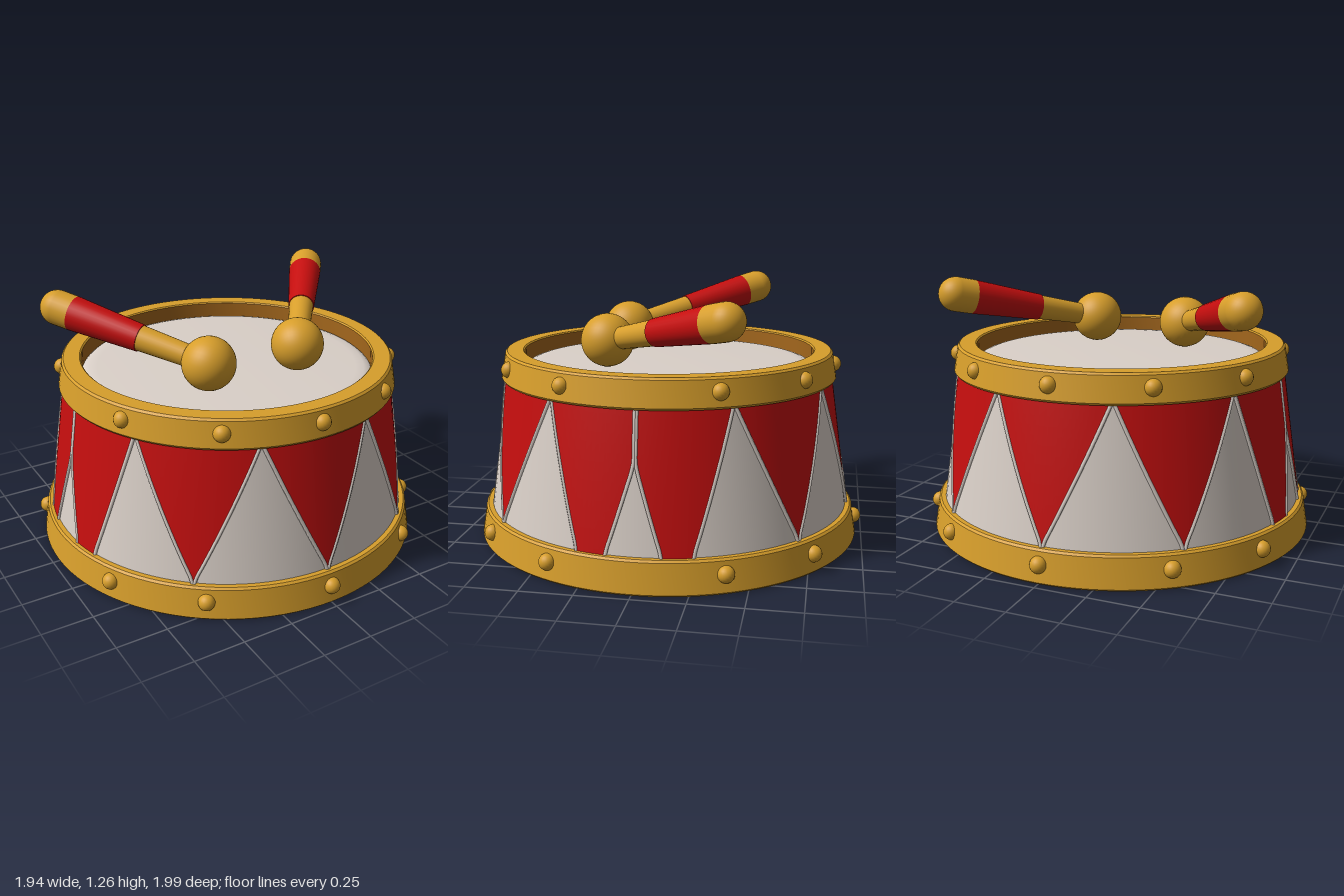
import * as THREE from 'three';
import { toCreasedNormals } from 'three/addons/utils/BufferGeometryUtils.js';

const mat = (name, color) => Object.assign(new THREE.MeshStandardMaterial({ color }), { name });
const gold = mat('gold', 0xd79e2b);
const brown = mat('darkGold', 0xa2661c);
const red = mat('red', 0xc40e0e);
const white = mat('offWhite', 0xdad0c8);

const RAD = Math.PI / 180;
const Y0 = 0.14, Y1 = 0.82, R0 = 0.917, R1 = 0.818;

function add(parent, name, geometry, material) {
  const mesh = new THREE.Mesh(geometry, material);
  mesh.name = name;
  parent.add(mesh);
  return mesh;
}

const lathe = (pts) => toCreasedNormals(
  new THREE.LatheGeometry(pts.map(([r, y]) => new THREE.Vector2(r, y)), 96), 0.6);

// Point on the tapered shell: angle in degrees from the front, t from bottom to top
function onShell(deg, t, lift) {
  const r = THREE.MathUtils.lerp(R0, R1, t) + lift;
  return new THREE.Vector3(r * Math.sin(deg * RAD), THREE.MathUtils.lerp(Y0, Y1, t), r * Math.cos(deg * RAD));
}

// Panel borders around the shell, each an angle that depends on height
function panelEdges() {
  const line = (a, b, top = 1) => (t) => {
    const s = THREE.MathUtils.clamp((t - 0.03) / (top - 0.03), 0, 1);
    return THREE.MathUtils.lerp(a, b, s);
  };
  const q = [line(0, 20), line(40, 20), line(40, 60), line(73.5, 60), line(82, 89.7, 0.62)];
  const back = [...q].reverse();
  return [
    ...q,
    ...back.map((e) => (t) => 180 - e(t)),
    ...q.map((e) => (t) => 180 + e(t)),
    ...back.map((e) => (t) => 360 - e(t)),
  ];
}

// Thin curved panel between two borders
function panelGeometry(left, right) {
  const cols = 12, rows = 16, pos = [], idx = [];
  for (let j = 0; j <= rows; j++) {
    const t = j / rows;
    for (let i = 0; i <= cols; i++) {
      pos.push(...onShell(THREE.MathUtils.lerp(left(t), right(t), i / cols), t, 0.006).toArray());
      if (i < cols && j < rows) {
        const a = j * (cols + 1) + i, b = a + cols + 1;
        idx.push(a, a + 1, b + 1, a, b + 1, b);
      }
    }
  }
  const g = new THREE.BufferGeometry();
  g.setAttribute('position', new THREE.Float32BufferAttribute(pos, 3));
  g.setIndex(idx);
  g.computeVertexNormals();
  return g;
}

function buildShell() {
  const shell = new THREE.Group();
  shell.name = 'shell';
  add(shell, 'shellWall', lathe([[R0, Y0], [R1, Y1]]), white);
  const edges = panelEdges(), n = edges.length;
  for (let i = 1; i < n; i += 2) {
    const right = i + 1 < n ? edges[i + 1] : (t) => edges[0](t) + 360;
    add(shell, 'redPanel', panelGeometry(edges[i], right), red);
  }
  // Piping along every panel border
  for (const e of edges) {
    const pts = Array.from({ length: 15 }, (_, k) => onShell(e(k / 14), k / 14, 0.003));
    add(shell, 'piping', new THREE.TubeGeometry(new THREE.CatmullRomCurve3(pts), 28, 0.009, 6), white);
  }
  return shell;
}

// Hoop with domed studs
function buildHoop(name, outer, inner, studAngles, studR, studY) {
  const hoop = new THREE.Group();
  hoop.name = name;
  add(hoop, name + 'Band', lathe(outer), gold);
  add(hoop, name + 'Lining', lathe(inner), brown);
  const ball = new THREE.SphereGeometry(0.04, 20, 14);
  const angles = new Set(studAngles.flatMap((a) => [a, (360 - a) % 360, 180 - a, (180 + a) % 360]));
  for (const a of angles) {
    add(hoop, 'stud', ball, gold).position.set(studR * Math.sin(a * RAD), studY, studR * Math.cos(a * RAD));
  }
  return hoop;
}

// Drumstick from the beater ball to the rounded grip end
function buildStick(side) {
  const stick = new THREE.Group();
  stick.name = side > 0 ? 'leftStick' : 'rightStick';
  const from = new THREE.Vector3(0.25 * side, 1.003, 0.26);
  const dir = new THREE.Vector3(0.735 * side, 1.175, -0.375).sub(from);
  const len = dir.length();
  const part = (name, t0, t1, r0, r1, m) => {
    const g = new THREE.CylinderGeometry(r1, r0, (t1 - t0) * len, 28, 1);
    add(stick, name, g, m).position.y = (t0 + t1) / 2 * len;
  };
  add(stick, 'beater', new THREE.SphereGeometry(0.13, 36, 24), gold);
  part('neck', 0.1, 0.45, 0.053, 0.063, gold);
  part('grip', 0.44, 0.89, 0.067, 0.086, red);
  part('gripCollar', 0.89, 1, 0.086, 0.087, gold);
  add(stick, 'gripEnd', new THREE.SphereGeometry(0.087, 28, 20), gold).position.y = len;
  stick.position.copy(from);
  stick.quaternion.setFromUnitVectors(new THREE.Vector3(0, 1, 0), dir.normalize());
  return stick;
}

export function createModel() {
  const drum = new THREE.Group();
  drum.name = 'drum';
  drum.add(buildShell());

  drum.add(buildHoop('bottomHoop',
    [[0.87, 0], [0.96, 0], [0.97, 0.01], [0.947, 0.15], [0.937, 0.16], [0.9, 0.16]],
    [[0.87, 0.06], [0.87, 0]], [0, 36, 65], 0.955, 0.09));
  drum.add(buildHoop('topHoop',
    [[0.79, 0.8], [0.838, 0.8], [0.845, 0.81], [0.824, 0.93], [0.814, 0.94], [0.735, 0.94], [0.728, 0.934]],
    [[0.728, 0.934], [0.728, 0.84]], [0, 32, 64.5], 0.826, 0.875));

  // Drum skins, the upper one with a softly rounded edge
  add(drum, 'topSkin', lathe([[0.729, 0.85], [0.715, 0.862], [0.69, 0.87], [0.65, 0.873], [0, 0.873]]), white);
  const base = add(drum, 'bottomSkin', new THREE.CircleGeometry(0.875, 96), white);
  base.rotation.x = Math.PI / 2;
  base.position.y = 0.03;

  drum.add(buildStick(1), buildStick(-1));
  return drum;
}
